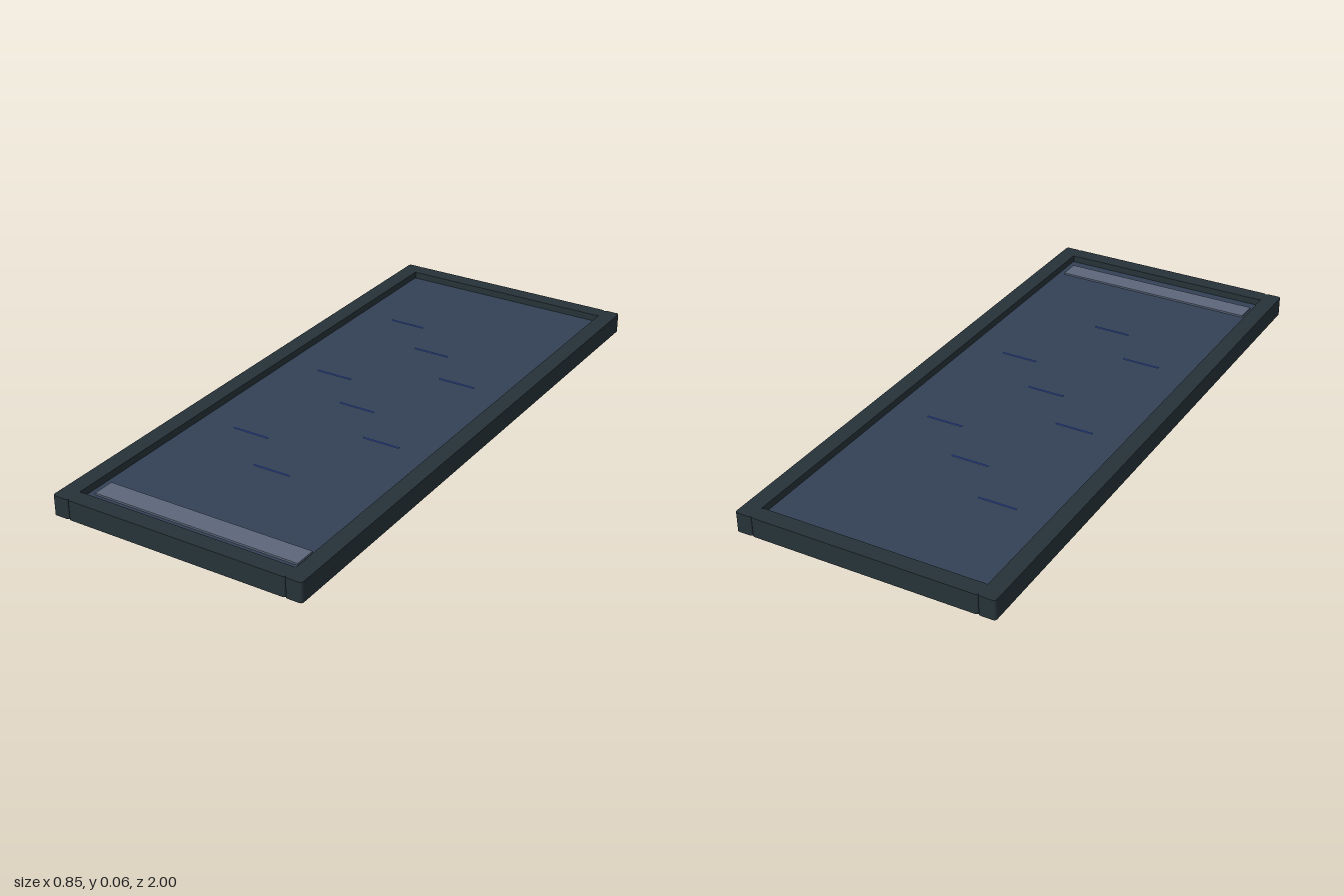
import * as THREE from 'three';

const mat = (name, color) => new THREE.MeshStandardMaterial({ name, color });

// Upright bar with rounded vertical edges, standing on y = 0
function railGeometry(w, d, h, r) {
  const x = w / 2, z = d / 2;
  const s = new THREE.Shape();
  s.moveTo(-x + r, -z);
  s.lineTo(x - r, -z);
  s.absarc(x - r, -z + r, r, -Math.PI / 2, 0);
  s.lineTo(x, z - r);
  s.absarc(x - r, z - r, r, 0, Math.PI / 2);
  s.lineTo(-x + r, z);
  s.absarc(-x + r, z - r, r, Math.PI / 2, Math.PI);
  s.lineTo(-x, -z + r);
  s.absarc(-x + r, -z + r, r, Math.PI, Math.PI * 1.5);
  const g = new THREE.ExtrudeGeometry(s, { depth: h, bevelEnabled: false, curveSegments: 4 });
  return g.rotateX(-Math.PI / 2);
}

export function createModel() {
  const group = new THREE.Group();
  const frameMat = mat('dark frame', 0x263238);
  const panelMat = mat('slate panel', 0x334155);
  const stripMat = mat('grey strip', 0x5c667a);
  const markMat = mat('blue mark', 0x4169e1);

  const add = (name, geometry, material, x, y, z) => {
    const m = new THREE.Mesh(geometry, material);
    m.name = name;
    m.position.set(x, y, z);
    group.add(m);
  };

  // Frame: two long side rails and two end rails between them
  const H = 0.065;
  const sideRail = railGeometry(0.055, 2, H, 0.009);
  const endRail = railGeometry(0.745, 0.055, H, 0.009);
  for (const s of [1, -1]) {
    add(s > 0 ? 'leftRail' : 'rightRail', sideRail, frameMat, s * 0.3985, 0, 0);
    add(s > 0 ? 'frontRail' : 'backRail', endRail, frameMat, 0, 0, s * 0.9725);
  }

  // Recessed panel
  add('panel', new THREE.BoxGeometry(0.746, 0.034, 1.892), panelMat, 0, 0.025, 0);

  // Pale strip near the front end
  add('strip', new THREE.BoxGeometry(0.7, 0.006, 0.072), stripMat, 0, 0.045, 0.87);

  // Thin blue marks in three staggered columns
  const mark = new THREE.BoxGeometry(0.126, 0.003, 0.003);
  for (let i = 0; i < 8; i++) {
    const col = i % 3, row = Math.floor(i / 3);
    add('mark', mark, markMat, (col - 1) * 0.186, 0.0435, -0.575 + col * 0.157 + row * 0.471);
  }
  return group;
}
